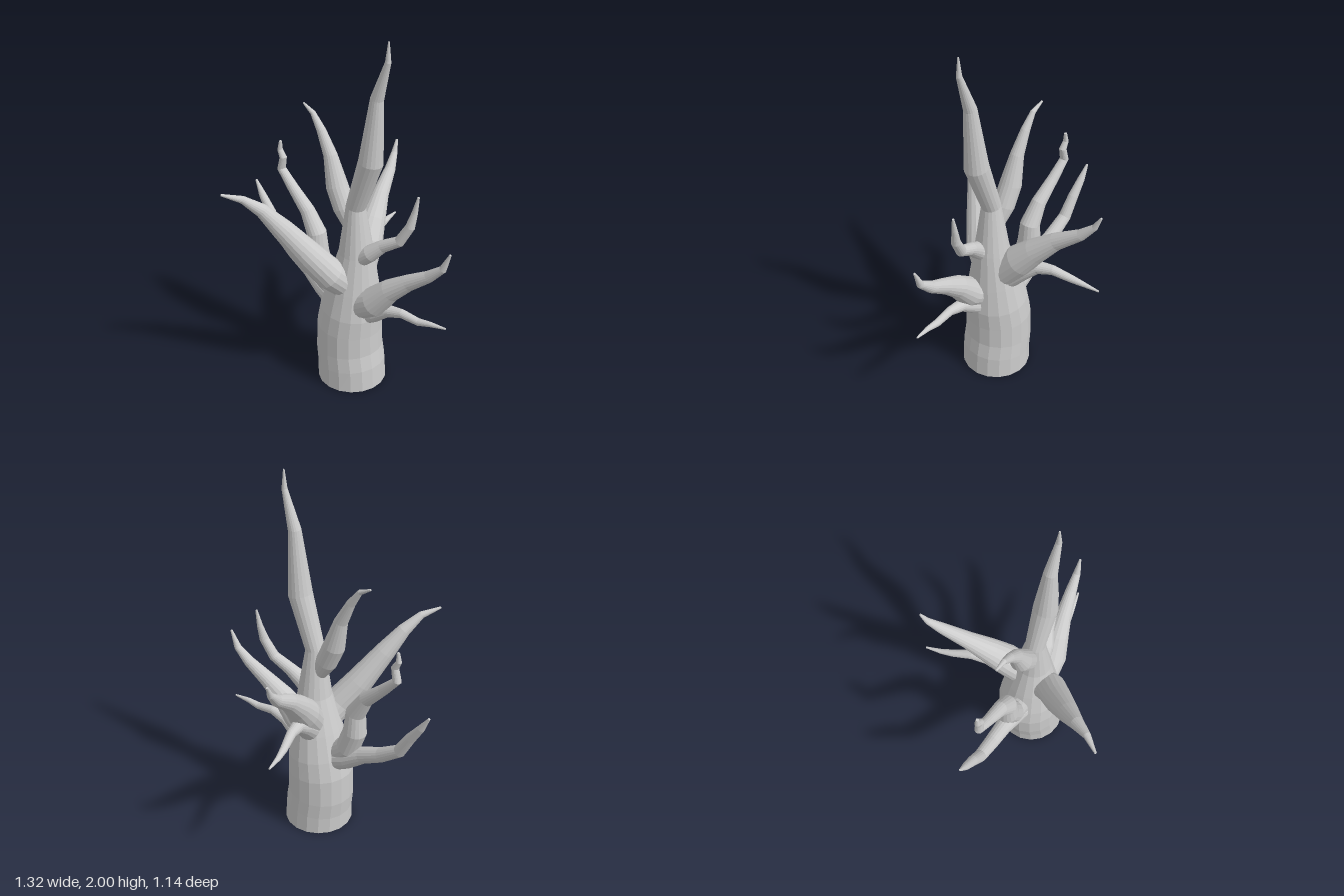
import * as THREE from 'three';

const SIDES = 18;

// Tapered limb through stations [x, y, z, radius], capped at both ends.
function limb(name, stations, material, level = false) {
  const pts = stations.map(s => new THREE.Vector3(s[0], s[1], s[2]));
  const up = new THREE.Vector3(0, 1, 0);
  const last = pts.length - 1;
  const pos = [], index = [];
  pts.forEach((p, i) => {
    const before = p.clone().sub(pts[Math.max(i - 1, 0)]).normalize();
    const after = pts[Math.min(i + 1, last)].clone().sub(p).normalize();
    const dir = before.add(after).normalize();
    if (level && i === 0) dir.copy(up);
    const turn = new THREE.Quaternion().setFromUnitVectors(up, dir);
    for (let k = 0; k < SIDES; k++) {
      const a = k / SIDES * Math.PI * 2;
      const v = new THREE.Vector3(Math.sin(a), 0, Math.cos(a)).multiplyScalar(stations[i][3]);
      v.applyQuaternion(turn).add(p);
      pos.push(v.x, v.y, v.z);
    }
  });
  for (let i = 0; i < last; i++) {
    for (let k = 0; k < SIDES; k++) {
      const a = i * SIDES + k, b = i * SIDES + (k + 1) % SIDES;
      index.push(a, b, b + SIDES, a, b + SIDES, a + SIDES);
    }
  }
  // end caps
  const top = last * SIDES;
  for (let k = 1; k < SIDES - 1; k++) {
    index.push(0, k + 1, k, top, top + k, top + k + 1);
  }
  const geo = new THREE.BufferGeometry();
  geo.setAttribute('position', new THREE.Float32BufferAttribute(pos, 3));
  geo.setIndex(index);
  geo.computeVertexNormals();
  const mesh = new THREE.Mesh(geo, material);
  mesh.name = name;
  return mesh;
}

export function createModel() {
  const group = new THREE.Group();
  group.name = 'bareTree';
  const bark = new THREE.MeshStandardMaterial({ color: 0xcccccc, flatShading: true });

  // trunk running on into the tall leader
  group.add(limb('trunk', [
    [0.06, 0, 0, 0.187], [0.055, 0.11, 0, 0.184], [0.042, 0.2, 0, 0.181],
    [0.042, 0.34, 0, 0.178], [0.055, 0.45, 0, 0.168], [0.068, 0.6, 0, 0.138],
    [0.086, 0.8, 0, 0.094], [0.085, 1.07, 0.005, 0.052], [0.182, 1.355, 0.005, 0.064],
    [0.215, 1.7, 0.005, 0.034], [0.278, 1.9, 0.005, 0.015], [0.28, 2, 0.005, 0.004],
  ], bark, true));

  const branches = {
    frontBranch: [
      [0.06, 0.62, 0.06, 0.08], [0.03, 0.7, 0.14, 0.084], [-0.04, 0.82, 0.22, 0.076],
      [-0.125, 0.99, 0.325, 0.056], [-0.185, 1.11, 0.405, 0.036],
      [-0.235, 1.185, 0.485, 0.02], [-0.3, 1.22, 0.567, 0.006],
    ],
    upperBackBranch: [
      [0.06, 0.66, -0.06, 0.085], [0.03, 0.77, -0.15, 0.085], [0, 0.86, -0.23, 0.068],
      [-0.04, 0.96, -0.335, 0.046], [-0.08, 1.05, -0.46, 0.03],
      [-0.105, 1.12, -0.525, 0.017], [-0.115, 1.185, -0.555, 0.006],
    ],
    lowerBackBranch: [
      [0.05, 0.62, -0.07, 0.07], [0.02, 0.7, -0.16, 0.055], [-0.01, 0.75, -0.24, 0.036],
      [-0.04, 0.76, -0.32, 0.026], [-0.08, 0.735, -0.42, 0.02],
      [-0.1, 0.725, -0.48, 0.014], [-0.12, 0.718, -0.565, 0.005],
    ],
    topSideBranch: [
      [0.05, 0.94, 0, 0.04], [0, 1.03, 0, 0.058], [-0.05, 1.14, 0, 0.058],
      [-0.095, 1.3, 0, 0.036], [-0.155, 1.42, 0.002, 0.024],
      [-0.21, 1.5, 0.004, 0.014], [-0.275, 1.535, 0.004, 0.005],
    ],
    crookedSideBranch: [
      [-0.05, 0.47, 0, 0.06], [-0.15, 0.56, 0, 0.066], [-0.195, 0.68, 0, 0.064],
      [-0.2, 0.8, 0, 0.054], [-0.265, 0.91, 0, 0.04], [-0.37, 1.01, 0, 0.03],
      [-0.455, 1.1, 0, 0.024], [-0.44, 1.17, 0, 0.02], [-0.462, 1.21, 0, 0.015],
      [-0.457, 1.26, 0, 0.008],
    ],
    lowSideBranch: [
      [-0.03, 0.44, 0, 0.08], [-0.15, 0.49, 0, 0.062], [-0.25, 0.55, 0.002, 0.046],
      [-0.37, 0.61, 0.003, 0.04], [-0.485, 0.69, 0.005, 0.034], [-0.55, 0.8, 0.005, 0.028],
      [-0.61, 0.885, 0.005, 0.02], [-0.655, 0.962, 0.005, 0.006],
    ],
    broadSideBranch: [
      [0.13, 0.5, 0.03, 0.08], [0.24, 0.57, 0.028, 0.08], [0.33, 0.67, 0.01, 0.06],
      [0.43, 0.75, -0.012, 0.043], [0.54, 0.825, -0.033, 0.031],
      [0.615, 0.895, -0.044, 0.02], [0.652, 0.99, -0.05, 0.006],
    ],
    thinSideBranch: [
      [0.12, 0.43, 0.01, 0.065], [0.23, 0.485, 0.01, 0.05], [0.31, 0.53, 0.004, 0.034],
      [0.4, 0.55, -0.004, 0.024], [0.5, 0.54, -0.015, 0.02],
      [0.57, 0.553, -0.025, 0.014], [0.655, 0.558, -0.04, 0.005],
    ],
    highSideBranch: [
      [0.11, 0.77, 0.02, 0.05], [0.19, 0.835, 0.01, 0.045], [0.25, 0.89, -0.015, 0.034],
      [0.34, 0.945, -0.04, 0.029], [0.39, 1.04, -0.06, 0.025],
      [0.405, 1.12, -0.073, 0.016], [0.42, 1.21, -0.08, 0.006],
    ],
  };
  for (const [name, stations] of Object.entries(branches)) {
    group.add(limb(name, stations, bark));
  }
  return group;
}
